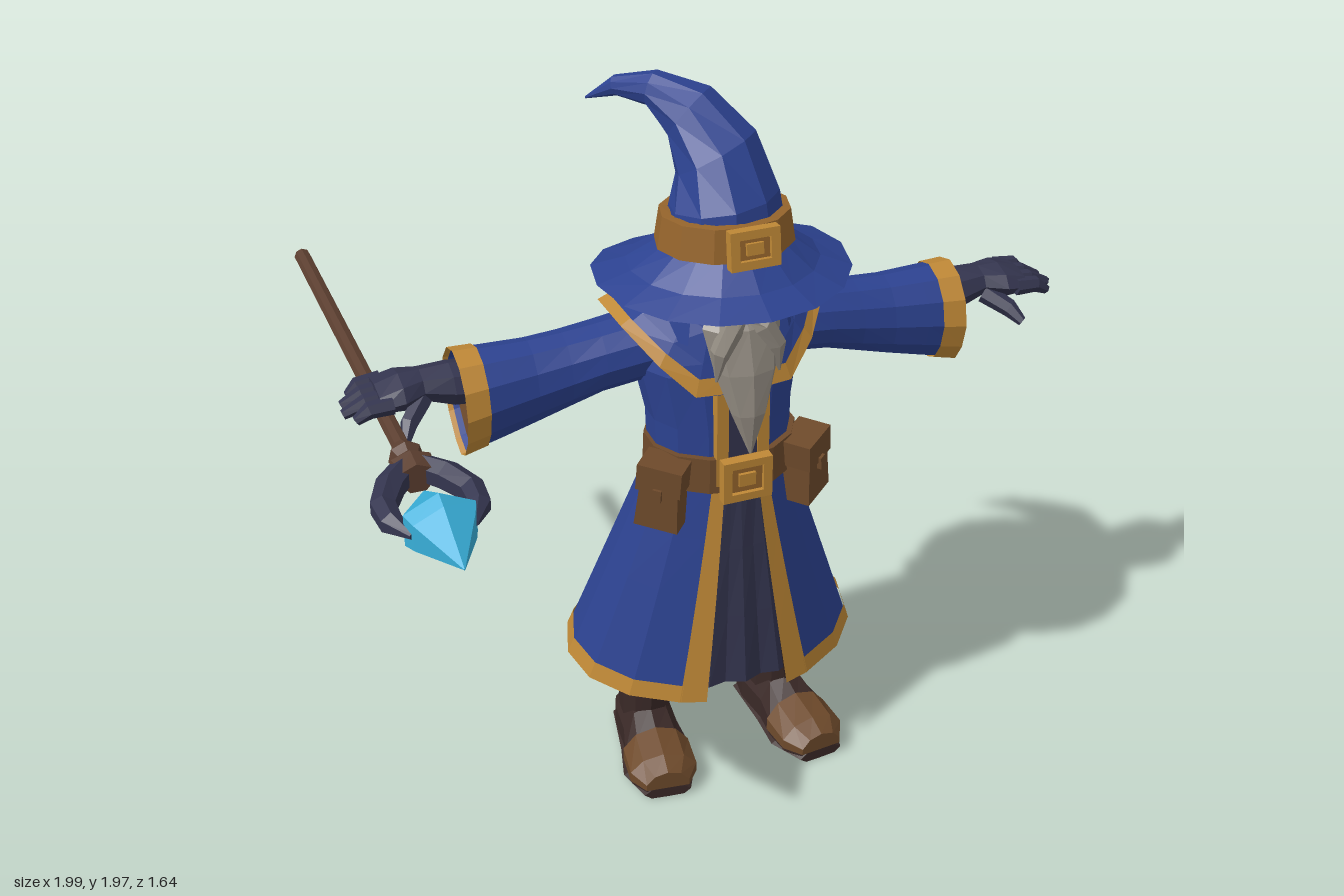
import * as THREE from 'three';

const mat = (name, color) => {
  const m = new THREE.MeshStandardMaterial({ color, flatShading: true, side: THREE.DoubleSide });
  m.name = name;
  return m;
};

export function createModel() {
  const blue = mat('robe blue', 0x2c4290), gold = mat('gold trim', 0xbf8836), navy = mat('dark navy cloth', 0x34354f);
  const leather = mat('brown leather', 0x6e4a2b), dark = mat('dark boot leather', 0x3a2927), grey = mat('beard grey', 0x918a80);
  const cyan = mat('crystal cyan', 0x38aed8), wood = mat('staff wood', 0x5c3f30), skin = mat('shadowed skin', 0x2a2438);
  const bronze = mat('hat band bronze', 0x96652c);

  const root = new THREE.Group();
  root.name = 'wizard';
  const body = new THREE.Group();
  body.name = 'body';
  body.position.x = 0.016;
  root.add(body);

  const add = (parent, name, geo, material, pos = [0, 0, 0], rot = [0, 0, 0]) => {
    const m = new THREE.Mesh(geo, material);
    m.name = name;
    m.position.set(...pos);
    m.rotation.set(...rot);
    parent.add(m);
    return m;
  };
  const box = (w, h, d) => new THREE.BoxGeometry(w, h, d);
  const lerp = THREE.MathUtils.lerp;

  // Sheet from a rule: fn(u, v) -> [x, y, z], u and v in 0..1
  const grid = (nu, nv, fn) => {
    const pos = [], idx = [];
    for (let j = 0; j <= nv; j++) for (let i = 0; i <= nu; i++) pos.push(...fn(i / nu, j / nv));
    for (let j = 0; j < nv; j++) for (let i = 0; i < nu; i++) {
      const a = j * (nu + 1) + i, d = a + nu + 1;
      idx.push(a, d, a + 1, a + 1, d, d + 1);
    }
    const g = new THREE.BufferGeometry();
    g.setAttribute('position', new THREE.Float32BufferAttribute(pos, 3));
    g.setIndex(idx);
    g.computeVertexNormals();
    return g;
  };

  // Closed loft along an axis; rows are [position, centre1, centre2, radius1, radius2]
  const loft = (axis, rows, sides = 10, minY = 0) => {
    const end = (r) => [r[0], r[1], r[2], 0, 0];
    const all = [end(rows[0]), ...rows, end(rows[rows.length - 1])];
    return grid(sides, all.length - 1, (u, v) => {
      const [p, c1, c2, r1, r2] = all[Math.round(v * (all.length - 1))];
      const s = c1 + r1 * Math.sin(u * Math.PI * 2), c = c2 + r2 * Math.cos(u * Math.PI * 2);
      const q = axis === 'y' ? [s, p, c] : axis === 'x' ? [p, s, c] : [s, c, p];
      return [q[0], Math.max(minY, q[1]), q[2]];
    });
  };

  // Round sweep with a radius at each point; side is a fixed ring direction
  const sweep = (pts, radii, side, sides = 6) => {
    const P = pts.map((p) => new THREE.Vector3(...p)), S = new THREE.Vector3(...side).normalize();
    const n = P.length, last = n + 1;
    return grid(sides, last, (u, v) => {
      const j = Math.round(v * last), k = Math.min(n - 1, Math.max(0, j - 1));
      const r = j === 0 || j === last ? 0 : radii[k];
      const t = P[Math.min(n - 1, k + 1)].clone().sub(P[Math.max(0, k - 1)]).normalize();
      const N = t.cross(S).normalize(), a = u * Math.PI * 2;
      return P[k].clone().addScaledVector(S, r * Math.cos(a)).addScaledVector(N, r * Math.sin(a)).toArray();
    });
  };

  // Buckle: square frame, plate and small centre stud
  const buckle = (name, w, h, pos, tilt) => {
    const g = new THREE.Group();
    g.name = name;
    const rect = (T, a, b) => new T([[-a, -b], [a, -b], [a, b], [-a, b]].map((p) => new THREE.Vector2(...p)));
    const s = rect(THREE.Shape, w / 2, h / 2);
    s.holes.push(rect(THREE.Path, w / 2 - 0.024, h / 2 - 0.022));
    add(g, 'buckleFrame', new THREE.ExtrudeGeometry(s, { depth: 0.03, bevelEnabled: false }), gold, [0, 0, -0.012]);
    add(g, 'bucklePlate', box(w - 0.04, h - 0.04, 0.012), bronze);
    add(g, 'buckleStud', box(w * 0.34, h * 0.3, 0.02), gold, [0, 0, 0.005]);
    g.position.set(...pos);
    g.rotation.x = tilt;
    body.add(g);
  };

  // Coat skirt, open at the front
  const skirt = (a, t, k = 1) => {
    const c = Math.cos(a);
    return [k * lerp(0.19, 0.405, t) * Math.sin(a), lerp(0.95, 0.335 - 0.035 * c, t), lerp(0.15, 0.08, t) + k * lerp(0.165, 0.3, t) * c];
  };
  const inner = (t) => lerp(0.24, 0.29, t), outer = (t) => lerp(0.4, 0.465, t);
  const around = (u, t) => lerp(outer(t), Math.PI * 2 - outer(t), u);
  add(body, 'coatSkirt', grid(14, 4, (u, v) => skirt(around(u, v), v)), blue);
  add(body, 'coatHem', grid(14, 1, (u, v) => { const t = lerp(0.925, 1.003, v); return skirt(around(u, t), t, 1.012); }), gold);
  add(body, 'coatLining', grid(14, 2, (u, v) => skirt(lerp(0.3, Math.PI * 2 - 0.3, u), v * 0.995, 0.975)), dark);
  for (const s of [-1, 1])
    add(body, 'coatFrontTrim', grid(1, 4, (u, v) => skirt(s * lerp(inner(v), outer(v) + 0.01, u), v * 1.003, 1.012)), gold);
  add(body, 'innerRobe', grid(8, 3, (u, v) => {
    const p = skirt(lerp(-0.55, 0.55, u), v * 0.955, 0.95);
    return [p[0], p[1], p[2] - (Math.round(u * 8) % 2) * 0.018 * v];
  }), navy);

  // Torso with front placket
  add(body, 'torso', loft('y', [[1.46, 0, 0.14, 0.1, 0.1], [1.37, 0, 0.11, 0.2, 0.15], [1.25, 0, 0.125, 0.225, 0.175],
    [1.1, 0, 0.145, 0.195, 0.165], [0.93, 0, 0.15, 0.19, 0.165]], 14), blue);
  add(body, 'chestPanel', box(0.09, 0.3, 0.01), navy, [0, 1.1, 0.311]);
  for (const s of [-1, 1]) add(body, 'lapelTrim', box(0.032, 0.3, 0.03), gold, [s * 0.056, 1.1, 0.306]);

  // Shoulder mantle with gold edge
  const half = [[0.05, 1.225, 0.325], [0.125, 1.225, 0.315], [0.2, 1.3, 0.265], [0.268, 1.385, 0.18], [0.275, 1.385, 0.03], [0.15, 1.295, -0.075], [0, 1.285, -0.085]];
  const hem = [...half, ...half.slice(0, -1).reverse().map(([x, y, z]) => [-x, y, z])];
  const mantle = (u, t, k) => {
    const [x, y, z] = hem[Math.round(u * (hem.length - 1))];
    return [k * lerp(x * 0.45, x, t), lerp(1.475, y, t) + (k - 1) * 0.4, 0.14 + k * lerp((z - 0.14) * 0.7, z - 0.14, t)];
  };
  add(body, 'mantle', grid(hem.length - 1, 3, (u, v) => mantle(u, v, 1)), blue);
  add(body, 'mantleTrim', grid(hem.length - 1, 1, (u, v) => mantle(u, lerp(0.84, 1.02, v), 1.025)), gold);

  // Belt, buckle and pouches
  add(body, 'belt', loft('y', [[1.03, 0, 0.155, 0.203, 0.175], [0.93, 0, 0.155, 0.207, 0.178]], 14), leather);
  buckle('beltBuckle', 0.135, 0.12, [0, 0.977, 0.34], 0);
  for (const s of [-1, 1]) {
    const g = new THREE.Group();
    g.name = 'pouch';
    const b = box(0.12, 0.18, 0.08), p = b.attributes.position;
    for (let i = 0; i < p.count; i++) if (p.getY(i) > 0) p.setX(i, p.getX(i) * 0.8);
    add(g, 'pouchBag', b, leather);
    add(g, 'pouchFlap', box(0.122, 0.075, 0.092), leather, [0, 0.06, 0]);
    add(g, 'pouchClasp', box(0.024, 0.035, 0.012), leather, [0, 0.02, 0.048]);
    g.position.set(s * 0.2, 0.93, 0.265);
    g.rotation.set(0, s * 0.7, s * 0.08);
    body.add(g);
  }

  // Head, hair, hood, eyes
  add(body, 'head', new THREE.SphereGeometry(0.13, 12, 8), skin, [0, 1.46, 0.155]);
  add(body, 'nose', new THREE.ConeGeometry(0.025, 0.07, 5), skin, [0, 1.455, 0.29], [0.3, 0, 0]);
  add(body, 'hair', loft('y', [[1.54, 0, 0.11, 0.14, 0.14], [1.42, 0, 0.1, 0.148, 0.145]], 10), dark);
  for (const s of [-1, 1]) add(body, 'eye', box(0.036, 0.024, 0.009), cyan, [s * 0.055, 1.482, 0.274], [0, s * 0.35, 0]);
  add(body, 'hood', grid(10, 2, (u, v) => {
    const a = lerp(0.75, Math.PI * 2 - 0.75, u), c = Math.cos(a), r = lerp(0.165, 0.2, v);
    return [r * Math.sin(a), lerp(1.49 + 0.045 * c, 1.36, v), 0.13 + (r + 0.01) * c];
  }), blue);

  // Beard and moustache
  add(body, 'beard', loft('y', [[1.455, 0, 0.275, 0.08, 0.03], [1.41, 0, 0.3, 0.105, 0.05], [1.3, 0, 0.33, 0.085, 0.055],
    [1.19, -0.004, 0.365, 0.048, 0.035], [1.08, -0.008, 0.388, 0.004, 0.004]], 8), grey);
  for (const s of [-1, 1])
    add(body, 'moustache', sweep([[0, 1.44, 0.315], [s * 0.04, 1.42, 0.335], [s * 0.075, 1.36, 0.345], [s * 0.085, 1.28, 0.345]],
      [0.018, 0.032, 0.026, 0.003], [0, 0, 1], 6), grey);

  // Hat: brim, bent crown, band, buckle
  const ring = (u, r, y, tilt, cz) => [r * Math.sin(u * Math.PI * 2), y + tilt * Math.cos(u * Math.PI * 2), cz + r * Math.cos(u * Math.PI * 2)];
  add(body, 'hatBrim', grid(16, 2, (u, v) => {
    const back = Math.max(0, -Math.cos(u * Math.PI * 2));
    return ring(u, lerp(0.16, 0.33, v), lerp(1.595, 1.507, v) - 0.015 * Math.sin(v * Math.PI) - 0.057 * v * back * back, lerp(0.015, 0, v), lerp(0.178, 0.16, v));
  }), blue);
  add(body, 'hatCrown', sweep([[0, 1.58, 0.18], [0, 1.7, 0.175], [-0.003, 1.8, 0.125], [-0.045, 1.885, 0.055], [-0.115, 1.93, -0.015], [-0.185, 1.918, -0.09], [-0.248, 1.875, -0.14]],
    [0.16, 0.14, 0.115, 0.083, 0.046, 0.026, 0.003], [0.7, 0, -0.7], 10), blue);
  add(body, 'hatBand', grid(12, 3, (u, v) => {
    const k = Math.round(v * 3);
    return ring(u, [0.14, 0.165, 0.178, 0.155][k], [1.675, 1.675, 1.588, 1.585][k], 0.016, 0.18);
  }), bronze);
  buckle('hatBuckle', 0.13, 0.1, [0.005, 1.643, 0.355], -0.12);

  // Arms: bell sleeves with hanging cuffs, gloved hands
  const rows = [[0.13, 1.385, 1.19, 0.105], [0.28, 1.362, 1.185, 0.098], [0.46, 1.345, 1.13, 0.09], [0.68, 1.35, 1.075, 0.113]];
  const sleeve = (x, u, k) => {
    const i = x < rows[1][0] ? 0 : x < rows[2][0] ? 1 : 2, A = rows[i], B = rows[i + 1], t = (x - A[0]) / (B[0] - A[0]);
    const top = lerp(A[1], B[1], t), bot = lerp(A[2], B[2], t), rz = lerp(A[3], B[3], t);
    const s = Math.sin(u * Math.PI * 2), low = Math.max(0, -s) * THREE.MathUtils.smoothstep(x, 0.3, 0.68);
    return [x, (top + bot) / 2 + k * s * (top - bot) / 2, 0.087 + k * (rz * Math.cos(u * Math.PI * 2) * (1 - 0.3 * low) + 0.025 * low)];
  };
  for (const s of [-1, 1]) {
    const arm = new THREE.Group();
    arm.name = s > 0 ? 'leftArm' : 'rightArm';
    arm.scale.x = s;
    add(arm, 'sleeve', grid(12, 6, (u, v) => sleeve(lerp(0.13, 0.675, v), u, 1)), blue);
    add(arm, 'sleeveCuff', grid(12, 1, (u, v) => sleeve(lerp(0.625, 0.688, v), u, 1.035)), gold);
    add(arm, 'sleeveLining', grid(12, 1, (u, v) => sleeve(lerp(0.66, 0.62, v), u, 0.97 * (1 - v))), leather);
    add(arm, 'gloveForearm', loft('x', [[0.6, 1.262, 0.09, 0.055, 0.07], [0.7, 1.27, 0.09, 0.056, 0.066], [0.775, 1.28, 0.085, 0.04, 0.055],
      [0.83, 1.278, 0.09, 0.045, 0.078], [0.89, 1.27, 0.085, 0.032, 0.08]], 8), navy);
    [[0.02, 0.945], [0.063, 0.972], [0.107, 0.978], [0.148, 0.955]].forEach(([z, x]) =>
      add(arm, 'finger', sweep([[0.86, 1.272, z], [0.92, 1.268, z], [x, 1.245, z]], [0.025, 0.022, 0.013], [0, 0, 1]), navy));
    add(arm, 'thumb', sweep([[0.78, 1.255, 0.12], [0.83, 1.225, 0.175], [0.85, 1.2, 0.215]], [0.028, 0.024, 0.013], [0.6, 0, -0.6]), navy);
    body.add(arm);

    // Boots
    const boot = new THREE.Group();
    boot.name = s > 0 ? 'leftBoot' : 'rightBoot';
    boot.position.x = s * 0.185;
    boot.rotation.y = s * 0.12;
    add(boot, 'bootShaft', loft('y', [[0.55, 0, 0.1, 0.07, 0.08], [0.3, 0, 0.095, 0.07, 0.088], [0.08, 0, 0.085, 0.07, 0.085]], 10), dark);
    add(boot, 'bootCuff', loft('y', [[0.36, 0, 0.093, 0.088, 0.1], [0.29, 0, 0.093, 0.084, 0.097], [0.22, 0, 0.093, 0.075, 0.091]], 10), dark);
    add(boot, 'bootFoot', loft('z', [[-0.01, 0, 0.05, 0.065, 0.06], [0.05, 0, 0.055, 0.08, 0.1], [0.16, 0, 0.055, 0.08, 0.1],
      [0.24, 0, 0.045, 0.095, 0.075], [0.32, 0, 0.04, 0.093, 0.062], [0.365, 0, 0.035, 0.06, 0.045]], 10), dark);
    add(boot, 'bootSole', loft('z', [[-0.012, 0, 0.015, 0.07, 0.02], [0.16, 0, 0.015, 0.085, 0.02], [0.27, 0, 0.015, 0.102, 0.02], [0.37, 0, 0.015, 0.065, 0.02]], 8), dark);
    add(boot, 'toeCap', loft('z', [[0.225, 0, 0.045, 0.097, 0.083], [0.32, 0, 0.04, 0.098, 0.068], [0.372, 0, 0.035, 0.063, 0.05]], 10, 0.032), leather);
    body.add(boot);
  }

  // Staff held level, with claws around a crystal
  const staff = new THREE.Group();
  staff.name = 'staff';
  staff.position.set(-0.858, 1.222, 0);
  add(staff, 'staffShaft', new THREE.CylinderGeometry(0.022, 0.022, 1.14, 8), wood, [0, 0, -0.25], [Math.PI / 2, 0, 0]);
  add(staff, 'staffCollar', loft('z', [[0.27, 0, 0, 0.024, 0.024], [0.31, 0, 0, 0.045, 0.04], [0.335, 0, 0, 0.032, 0.03], [0.36, 0, 0, 0.062, 0.045], [0.42, 0, 0, 0.045, 0.04]], 7, -1), wood);
  for (const s of [-1, 1])
    add(staff, 'staffClaw', sweep([[s * 0.02, 0, 0.37], [s * 0.07, 0, 0.43], [s * 0.107, 0, 0.51], [s * 0.105, 0, 0.58], [s * 0.075, 0, 0.65]],
      [0.035, 0.038, 0.034, 0.03, 0.008], [0, 1, 0], 6), navy);
  add(staff, 'crystal', loft('z', [[0.48, 0, 0, 0.004, 0.004], [0.62, 0, 0, 0.1, 0.083], [0.66, 0, 0, 0.085, 0.07], [0.818, 0, 0, 0.002, 0.002]], 6, -1), cyan);
  root.add(staff);
  return root;
}
